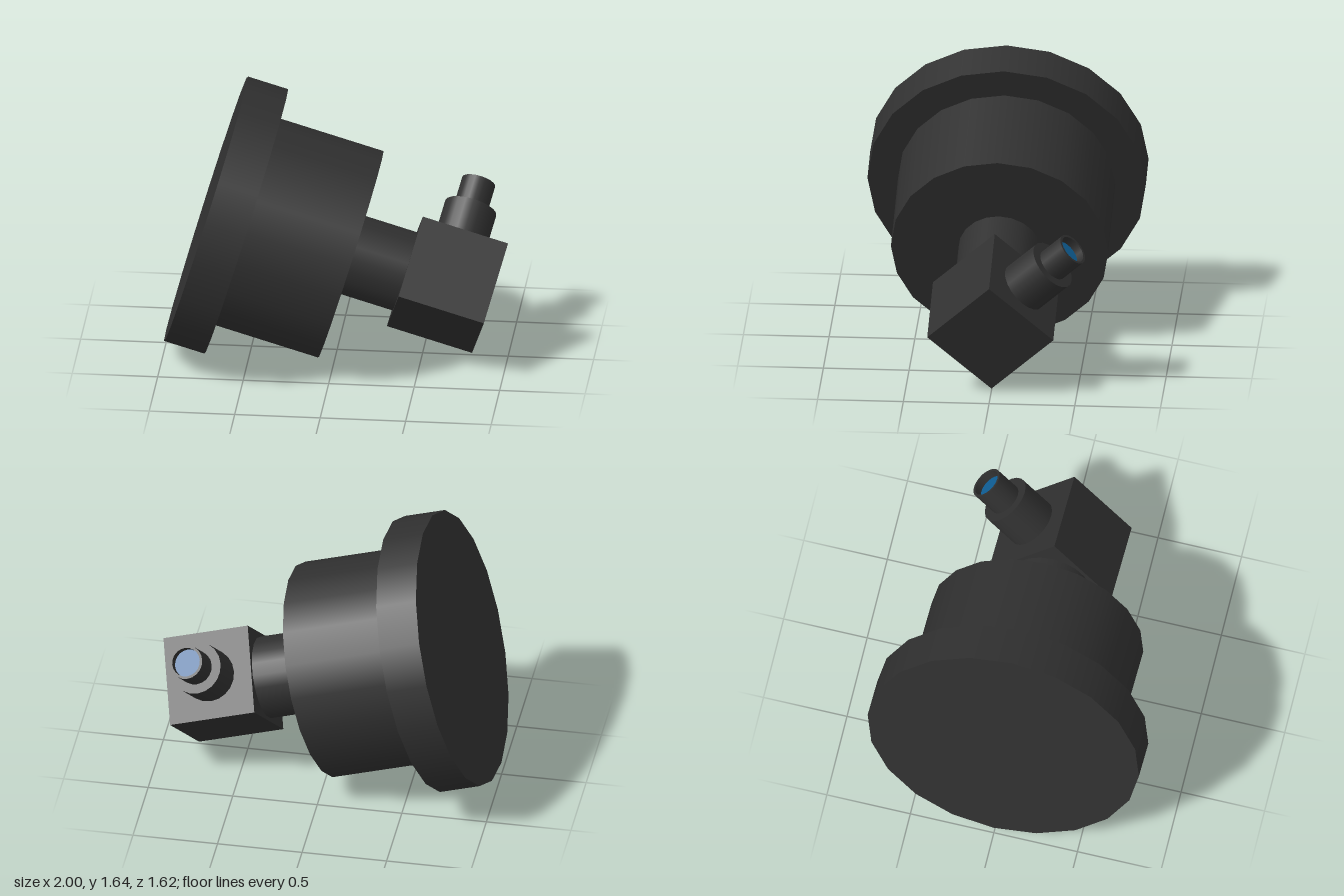
import * as THREE from 'three';

const dark = new THREE.MeshStandardMaterial({ color: 0x303030 });
const blue = new THREE.MeshStandardMaterial({ color: 0x0f5f96 });
const SIDES = 20;

function add(parent, name, geometry, material = dark) {
  const mesh = new THREE.Mesh(geometry, material);
  mesh.name = name;
  parent.add(mesh);
  return mesh;
}

// Solid cylinder along +y between two heights
function rod(radius, from, to) {
  return new THREE.CylinderGeometry(radius, radius, to - from, SIDES).translate(0, (from + to) / 2, 0);
}

export function createModel() {
  const model = new THREE.Group();
  model.name = 'sensorHead';

  // Local x is the main axis, tilted downwards from the flange's back face
  const tilted = new THREE.Group();
  tilted.name = 'tiltedAssembly';
  tilted.position.set(-0.767, 0.86, 0);
  tilted.rotation.z = -0.2905;
  model.add(tilted);

  // Stepped round parts: name, radius, start, end
  const steps = [
    ['flange', 0.812, 0, 0.245],
    ['body', 0.634, 0.245, 0.884],
    ['neck', 0.24, 0.884, 1.214],
  ];
  for (const [name, radius, from, to] of steps) {
    add(tilted, name, rod(radius, from, to).rotateZ(-Math.PI / 2));
  }

  // Cube housing turned on its edge; local +y points up and backwards
  const head = new THREE.Group();
  head.name = 'connectorHead';
  head.position.x = 1.474;
  head.rotation.x = -Math.PI / 4;
  tilted.add(head);
  add(head, 'housing', new THREE.BoxGeometry(0.52, 0.52, 0.52));
  add(head, 'connectorCollar', rod(0.155, 0.26, 0.5));

  // Hollow plug: separate walls keep the rim sharp
  const wall = (points) => new THREE.LatheGeometry(points.map(([r, y]) => new THREE.Vector2(r, y)), SIDES);
  add(head, 'plugOuterWall', wall([[0.1, 0.5], [0.1, 0.67]]));
  add(head, 'plugRim', wall([[0.1, 0.67], [0.085, 0.67]]));
  add(head, 'plugInnerWall', wall([[0.085, 0.67], [0.085, 0.62]]));

  // Coloured insert recessed in the plug
  const insert = add(head, 'plugInsert', new THREE.CircleGeometry(0.085, SIDES).rotateX(-Math.PI / 2), blue);
  insert.position.y = 0.62;

  return model;
}
